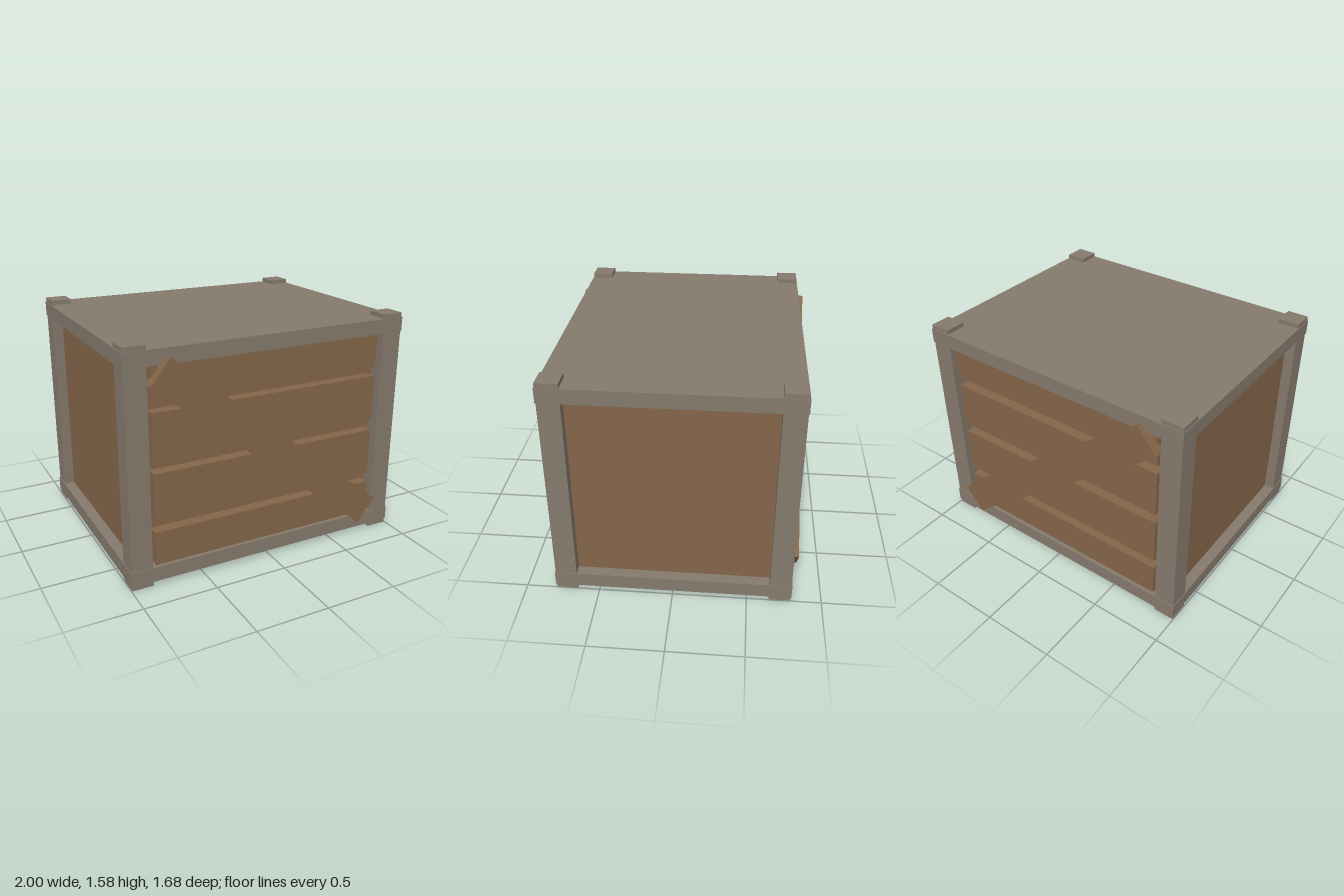
import * as THREE from 'three';

export function createModel() {
  const crate = new THREE.Group();
  crate.name = 'crate';
  const frameMat = new THREE.MeshStandardMaterial({ color: 0x857a6d });
  frameMat.name = 'greyFrame';
  const woodMat = new THREE.MeshStandardMaterial({ color: 0x846549 });
  woodMat.name = 'brownWood';

  // Box given by its minimum and maximum corners
  function box(name, material, [x0, y0, z0], [x1, y1, z1]) {
    const mesh = new THREE.Mesh(new THREE.BoxGeometry(x1 - x0, y1 - y0, z1 - z0), material);
    mesh.position.set((x0 + x1) / 2, (y0 + y1) / 2, (z0 + z1) / 2);
    mesh.name = name;
    crate.add(mesh);
    return mesh;
  }

  // Lid and floor slabs
  box('floor', frameMat, [-1, 0.03, -0.8], [1, 0.13, 0.8]);
  box('lid', frameMat, [-1, 1.45, -0.8], [1, 1.55, 0.8]);

  // Corner posts, poking out above the lid and below the floor
  for (const sx of [-1, 1]) {
    for (const sz of [-1, 1]) {
      const post = box('cornerPost', frameMat, [0.85, 0, 0.65], [0.995, 1.58, 0.795]);
      post.position.x *= sx;
      post.position.z *= sz;
    }
  }

  // Recessed inner body
  box('innerBody', woodMat, [-0.925, 0.1, -0.7], [0.925, 1.48, 0.7]);

  // Planks and diagonal brace on the front and the back
  const plankRows = [[0.1, 0.36], [0.43, 0.76], [0.83, 1.155], [1.22, 1.48]];
  for (const sz of [-1, 1]) {
    for (const [y0, y1] of plankRows) {
      const plank = box('plank', woodMat, [-0.82, y0, 0.68], [0.82, y1, 0.775]);
      plank.position.z *= sz;
    }
    const brace = box('diagonalBrace', woodMat, [-1, -0.105, 0.76], [1, 0.105, 0.84]);
    brace.position.set(-0.0025, 0.794, 0.8 * sz);
    brace.rotation.z = -0.674;
  }

  return crate;
}
